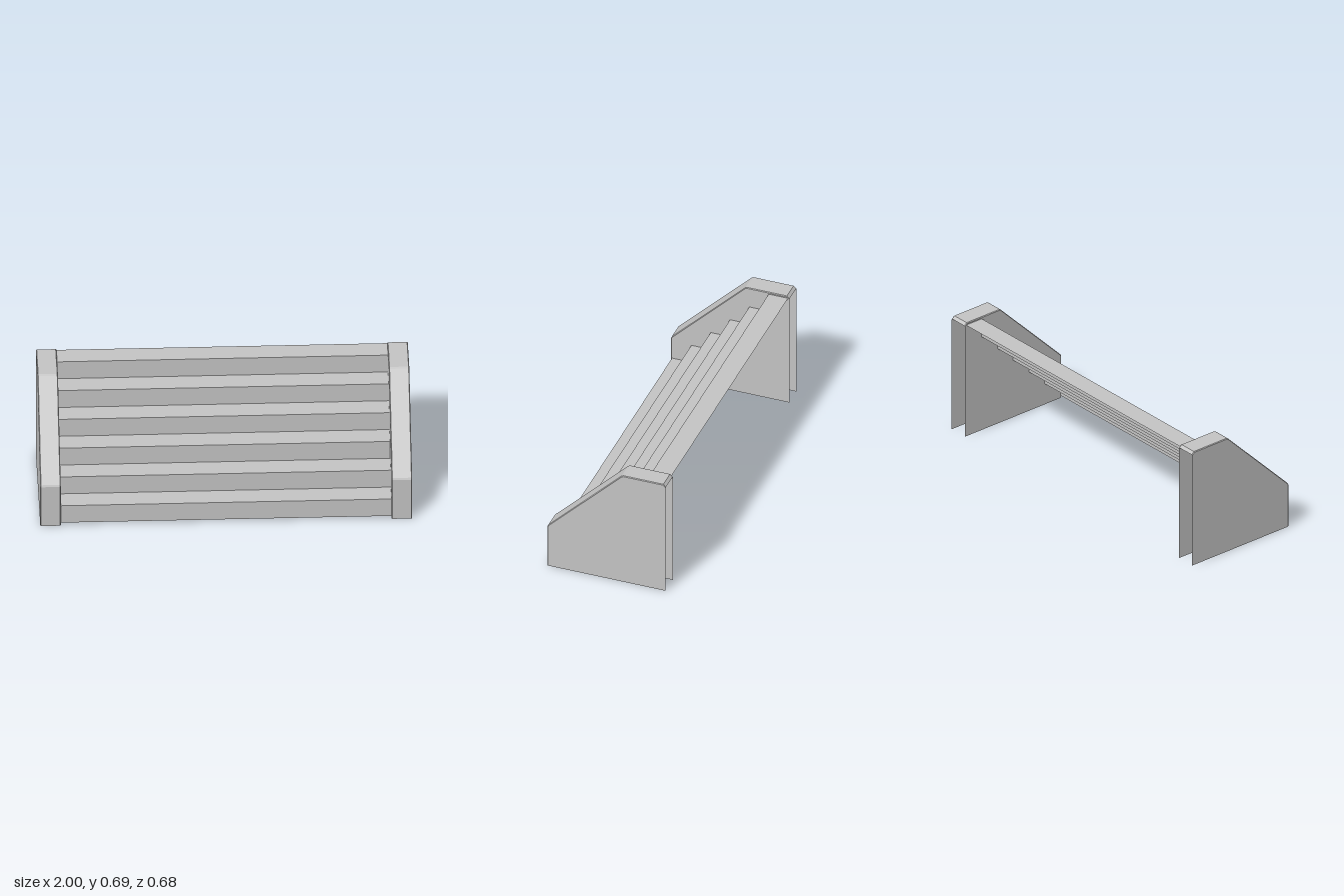
import * as THREE from 'three';

// Flat-faced open sheet lofted across x: each column is a list of [z, y] points at one x.
function loftAcross(columns) {
  const pos = [];
  for (let c = 0; c < columns.length - 1; c++) {
    const p = columns[c], q = columns[c + 1];
    for (let i = 0; i < p.points.length - 1; i++) {
      const at = (col, k) => [col.x, col.points[k][1], col.points[k][0]];
      const a = at(p, i), b = at(q, i), d = at(q, i + 1), e = at(p, i + 1);
      pos.push(...a, ...b, ...d, ...a, ...d, ...e);
    }
  }
  const g = new THREE.BufferGeometry();
  g.setAttribute('position', new THREE.Float32BufferAttribute(pos, 3));
  g.computeVertexNormals();
  return g;
}

export function createModel() {
  const model = new THREE.Group();
  model.name = 'steppedStand';
  const grey = new THREE.MeshStandardMaterial({ color: 0xc4c4c4, side: THREE.DoubleSide });
  grey.name = 'grey';

  const add = (parent, name, geometry) => {
    const mesh = new THREE.Mesh(geometry, grey);
    mesh.name = name;
    parent.add(mesh);
    return mesh;
  };

  // Staircase: a single folded sheet, open behind and below
  const steps = 6, size = 0.111, inner = 0.89;
  const fold = [[0.333, 0.015]];
  for (let i = 0; i < steps; i++) {
    const y = 0.015 + size * (i + 1);
    fold.push([0.333 - size * i, y], [0.333 - size * (i + 1), y]);
  }
  add(model, 'steps', loftAcross([
    { x: -inner, points: fold },
    { x: inner, points: fold },
  ]));

  // End wall outline, front foot to back top, and the same outline drawn in for the bevel
  const bevel = 0.004;
  const outline = [
    [0.34, 0], [0.34, 0.255], [0.335, 0.265], [-0.085, 0.687],
    [-0.096, 0.692], [-0.325, 0.692], [-0.34, 0.677],
  ];
  const inward = [[1, 0], [1, 0.2], [0.9, 0.5], [0.5, 0.9], [0.2, 1], [0, 1], [0, 1]];
  const inset = outline.map(([z, y], i) => [z - bevel * inward[i][0], y - bevel * inward[i][1]]);
  const face = [...inset, [-0.34, 0]];
  const sheet = (sign) =>
    new THREE.ShapeGeometry(new THREE.Shape(face.map(([z, y]) => new THREE.Vector2(sign * z, y))));

  // Hollow end walls: two sheets joined by a bevelled front and top band
  for (const [name, x0, x1] of [['leftEnd', inner, 1], ['rightEnd', -1, -inner]]) {
    const end = new THREE.Group();
    end.name = name;
    model.add(end);
    add(end, 'band', loftAcross([
      { x: x0, points: inset },
      { x: x0 + bevel, points: outline },
      { x: x1 - bevel, points: outline },
      { x: x1, points: inset },
    ]));
    add(end, 'sheetTowardLeft', sheet(-1).rotateY(Math.PI / 2).translate(x1, 0, 0));
    add(end, 'sheetTowardRight', sheet(1).rotateY(-Math.PI / 2).translate(x0, 0, 0));
  }
  return model;
}
